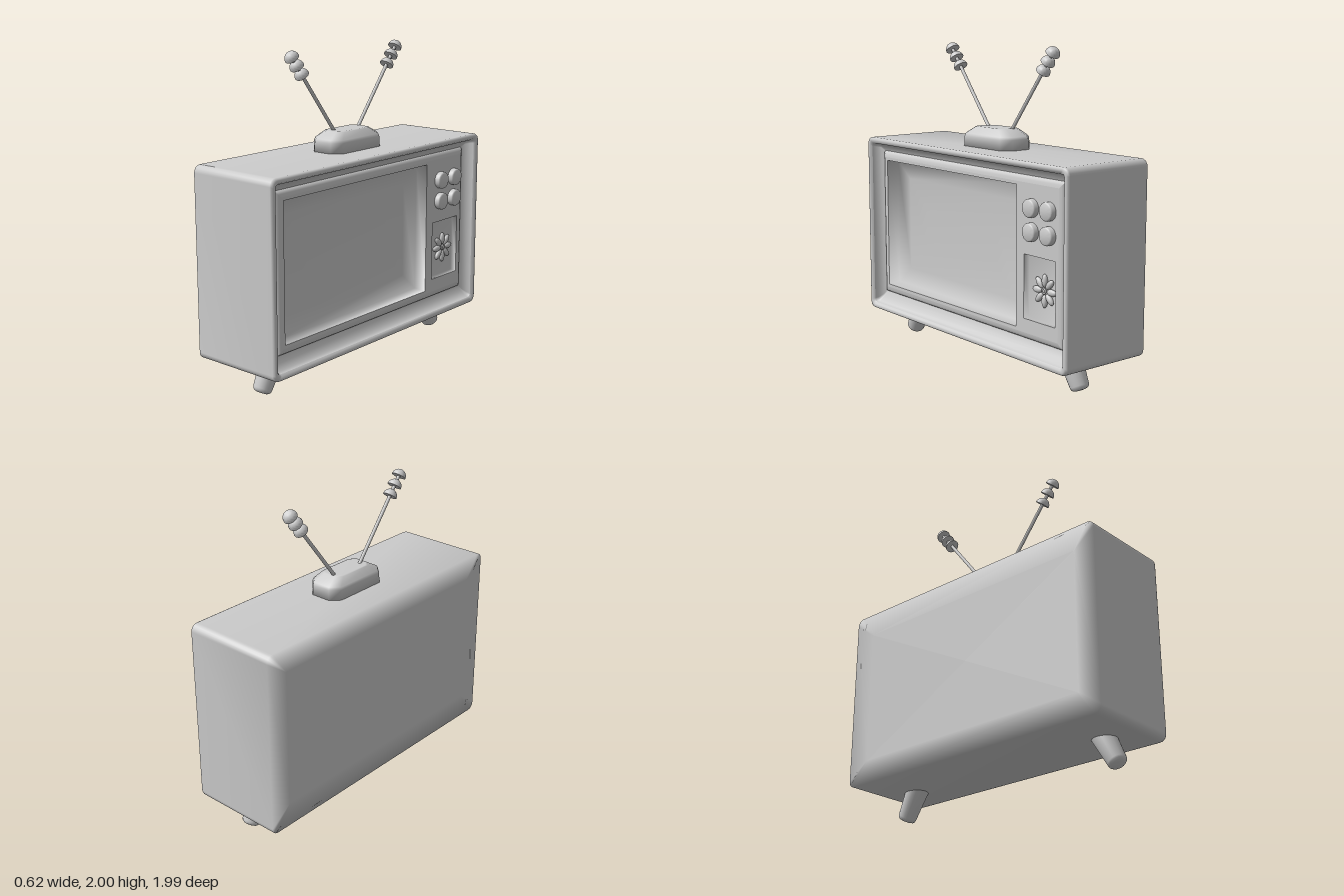
import * as THREE from 'three';
import { toCreasedNormals } from 'three/addons/utils/BufferGeometryUtils.js';

const grey = new THREE.MeshStandardMaterial({ color: 0xcccccc });
const greyBoth = new THREE.MeshStandardMaterial({ color: 0xcccccc, side: THREE.DoubleSide });

function add(parent, name, geometry, material = grey) {
  const mesh = new THREE.Mesh(geometry, material);
  mesh.name = name;
  parent.add(mesh);
  return mesh;
}

// Rectangle with rounded corners (n = 1 gives chamfers), counter-clockwise, at depth z
function ring(x0, x1, y0, y1, r, z, n = 5) {
  const corners = [[x1 - r, y0 + r], [x1 - r, y1 - r], [x0 + r, y1 - r], [x0 + r, y0 + r]];
  const points = [];
  corners.forEach(([cx, cy], c) => {
    for (let i = 0; i <= n; i++) {
      const a = (c - 1 + i / n) * Math.PI / 2;
      points.push([cx + r * Math.cos(a), cy + r * Math.sin(a), z]);
    }
  });
  return points;
}

const rectCorners = ([x0, x1, y0, y1]) => [[x0, y0], [x1, y0], [x1, y1], [x0, y1]];

// Skin over successive rings, with optional caps on the first and last ring
function loft(rings, capStart, capEnd) {
  const n = rings[0].length, pos = rings.flat(2), index = [];
  for (let k = 0; k < rings.length - 1; k++) {
    for (let i = 0; i < n; i++) {
      const a = k * n + i, b = k * n + (i + 1) % n;
      index.push(a, b, b + n, a, b + n, a + n);
    }
  }
  const cap = (k, flip) => {
    const centre = pos.length / 3;
    for (let c = 0; c < 3; c++) pos.push(rings[k].reduce((s, p) => s + p[c], 0) / n);
    for (let i = 0; i < n; i++) {
      const a = k * n + i, b = k * n + (i + 1) % n;
      index.push(centre, ...(flip ? [b, a] : [a, b]));
    }
  };
  if (capStart) cap(0, true);
  if (capEnd) cap(rings.length - 1, false);
  const g = new THREE.BufferGeometry();
  g.setAttribute('position', new THREE.Float32BufferAttribute(pos, 3));
  g.setIndex(index);
  g.computeVertexNormals();
  return g;
}

// Sunken rectangle with softly shaded walls and floor: each step is [inset, depth]
function recess([x0, x1, y0, y1], steps, z) {
  return loft(steps.map(([s, d]) =>
    rectCorners([x0 + s, x1 - s, y0 + s, y1 - s]).map(p => [...p, z - d])), false, true);
}

const rectPath = (rect, Type) => new Type(rectCorners(rect).map(p => new THREE.Vector2(...p)));

// Place a y-axis geometry so it points from a towards b
function aim(mesh, a, b, t = 0.5) {
  mesh.position.lerpVectors(a, b, t);
  mesh.quaternion.setFromUnitVectors(new THREE.Vector3(0, 1, 0), b.clone().sub(a).normalize());
}

const lathe = (points, segments) =>
  toCreasedNormals(new THREE.LatheGeometry(points.map(p => new THREE.Vector2(...p)), segments), 0.6);

export function createModel() {
  const model = new THREE.Group();
  model.name = 'television';
  // Built with the screen facing +z, then turned to face +x
  const set = new THREE.Group();
  set.name = 'televisionSet';
  set.rotation.y = Math.PI / 2;
  model.add(set);

  // Cabinet shell with a flat, softly shaded back and a rounded rim
  const shellRing = (s, z) =>
    ring(-0.997 + s, 0.997 - s, 0.187 + s, 1.366 - s, Math.max(0.045 - s * 0.5, 0.002), z);
  add(set, 'cabinet', loft([
    shellRing(0.15, -0.31), shellRing(0, -0.31), shellRing(0, 0.292), shellRing(0.004, 0.303),
    shellRing(0.014, 0.309), shellRing(0.03, 0.307), shellRing(0.04, 0.294),
  ], true, false));

  // Sloping surround leading down to a groove around the panel
  const panelZ = 0.25, grooveZ = 0.228;
  add(set, 'innerSurround', loft([
    shellRing(0.04, 0.294), shellRing(0.046, 0.27),
    ring(-0.93, 0.93, 0.265, 1.305, 0.012, 0.242), ring(-0.9, 0.9, 0.305, 1.275, 0.004, grooveZ),
  ], false, false));

  // Rounded moulding rising from the groove to the panel
  const panel = [-0.862, 0.862, 0.345, 1.235];
  add(set, 'panelMoulding', loft([
    ring(-0.9, 0.9, 0.305, 1.275, 0.004, grooveZ), ring(-0.893, 0.893, 0.312, 1.268, 0.004, 0.24),
    ring(-0.88, 0.88, 0.326, 1.254, 0.004, 0.247), ring(...panel, 0.001, panelZ),
  ], false, false));

  // Front panel with openings for the screen and speaker
  const screen = [-0.845, 0.495, 0.365, 1.215], speaker = [0.565, 0.84, 0.43, 0.815];
  const face = rectPath(panel, THREE.Shape);
  face.holes.push(rectPath(screen, THREE.Path), rectPath(speaker, THREE.Path));
  add(set, 'frontPanel', new THREE.ShapeGeometry(face)).position.z = panelZ;
  add(set, 'screen', recess(screen, [[0, 0], [0.008, 0.08], [0.12, 0.1], [0.3, 0.107]], panelZ));
  add(set, 'speakerRecess', recess(speaker, [[0, 0], [0.003, 0.04]], panelZ));

  // Control knobs
  const knob = lathe([[0.055, -0.01], [0.055, 0.028], [0.052, 0.034], [0.045, 0.038], [0, 0.038]], 28);
  knob.rotateX(Math.PI / 2);
  for (const x of [0.638, 0.785]) {
    for (const y of [0.955, 1.095]) add(set, 'knob', knob).position.set(x, y, panelZ);
  }

  // Flower ornament on the speaker
  const flower = new THREE.Group();
  flower.name = 'flower';
  flower.position.set(0.717, 0.618, 0.222);
  set.add(flower);
  const petal = new THREE.SphereGeometry(1, 14, 10).scale(0.04, 0.02, 0.016).translate(0.061, 0, 0);
  for (let i = 0; i < 8; i++) add(flower, 'petal', petal).rotation.z = i * Math.PI / 4;
  add(flower, 'flowerRing', new THREE.TorusGeometry(0.014, 0.006, 8, 16)).position.z = 0.006;
  add(flower, 'flowerCentre', new THREE.SphereGeometry(0.011, 12, 8)).position.z = 0.004;

  // Antenna base
  const baseRing = (w, d, r, y) => ring(-w, w, 0.005 - d, 0.005 + d, r, y, 1);
  const base = loft([
    baseRing(0.232, 0.12, 0.055, 1.355), baseRing(0.228, 0.118, 0.055, 1.43),
    baseRing(0.222, 0.112, 0.053, 1.447), baseRing(0.15, 0.078, 0.036, 1.488), baseRing(0.135, 0.068, 0.032, 1.491),
  ], true, true);
  add(set, 'antennaBase', base.rotateX(-Math.PI / 2));

  // Mirrored antennas with domed caps, and splayed legs
  const r = 0.045, arc = [[0, 0], [r, 0]];
  for (let i = 1; i <= 7; i++) arc.push([r * Math.cos(i * Math.PI / 14), r * Math.sin(i * Math.PI / 14)]);
  const dome = lathe(arc, 24);
  const leg = lathe([[0, -0.132], [0.03, -0.13], [0.045, -0.125], [0.054, -0.116], [0.058, -0.104], [0.075, 0.12]], 24);
  for (const s of [-1, 1]) {
    const antenna = new THREE.Group();
    antenna.name = s < 0 ? 'leftAntenna' : 'rightAntenna';
    set.add(antenna);
    const foot = new THREE.Vector3(0.013 + s * 0.1, 1.465, -0.023);
    const tip = new THREE.Vector3(0.011 + s * 0.482, 1.955, -0.023);
    const length = foot.distanceTo(tip);
    aim(add(antenna, 'antennaRod', new THREE.CylinderGeometry(0.011, 0.011, length, 12)), foot, tip);
    for (let i = 0; i < 3; i++) aim(add(antenna, 'antennaCap', dome, greyBoth), foot, tip, 1 - i * 0.068 / length);

    const legMesh = add(set, s < 0 ? 'leftLeg' : 'rightLeg', leg, greyBoth);
    aim(legMesh, new THREE.Vector3(s * 0.842, 0.019, 0.045), new THREE.Vector3(s * 0.725, 0.245, 0.045), 0.13 / 0.254);
  }
  return model;
}
